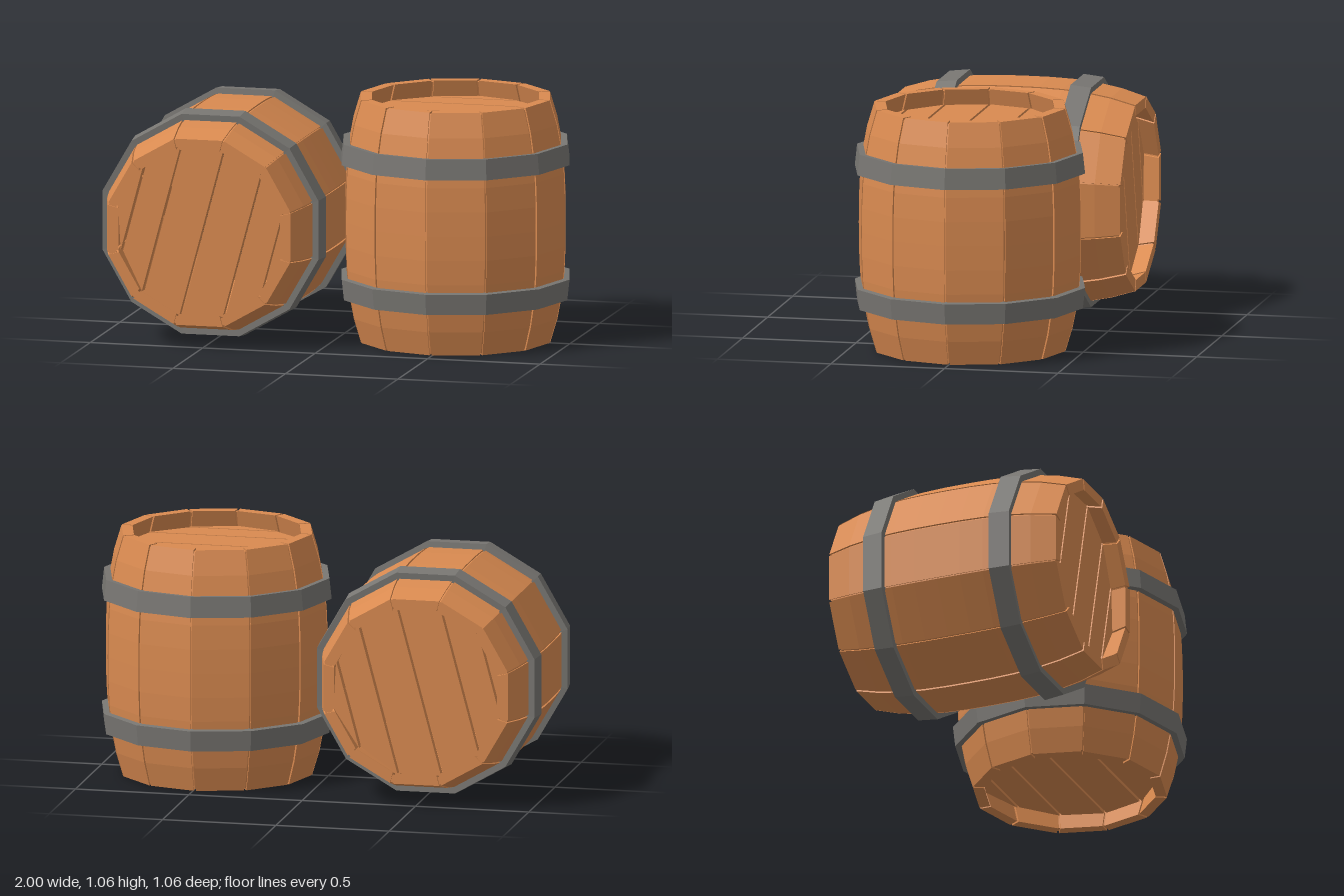
import * as THREE from 'three';

const SIDES = 12, H = 1.06, WALL = 0.049, GAP = 0.011, ROWS = 10;
const wood = new THREE.MeshStandardMaterial({ color: 0xd98a50, flatShading: true });
const metal = new THREE.MeshStandardMaterial({ color: 0x787672, flatShading: true });

// Outer corner radius of the bulging body, y measured from the middle
const radiusAt = (y) => 0.49 - 0.069 * Math.pow(Math.min(1, Math.abs(y) / (H / 2)), 2.8);

function add(group, name, geometry, material) {
  const mesh = new THREE.Mesh(geometry, material);
  mesh.name = name;
  group.add(mesh);
  return mesh;
}

// One bulged stave: a box whose corners follow the body radius
function staveGeometry() {
  const geo = new THREE.BoxGeometry(1, H, 1, 1, ROWS, 1);
  const pos = geo.attributes.position, half = Math.PI / SIDES;
  for (let i = 0; i < pos.count; i++) {
    const y = pos.getY(i);
    const r = radiusAt(y) - (pos.getX(i) < 0 ? WALL : 0);
    const width = r * Math.sin(half) - GAP / 2;
    pos.setXYZ(i, r * Math.cos(half), y, Math.sign(pos.getZ(i)) * width);
  }
  return geo;
}

// Ring just below the stave surfaces that closes the joints
function linerGeometry() {
  const outer = [], inner = [], h = H - 0.016;
  for (let i = 0; i <= ROWS; i++) {
    const y = (i / ROWS - 0.5) * h, r = radiusAt(y);
    outer.push(new THREE.Vector2(r - 0.008, y));
    inner.unshift(new THREE.Vector2(r - WALL + 0.008, y));
  }
  return new THREE.LatheGeometry([...outer, ...inner, outer[0].clone()], SIDES);
}

// Band with a slightly tapered outer face
function hoopGeometry() {
  const profile = [[0.465, 0.245], [0.507, 0.25], [0.497, 0.34], [0.455, 0.337], [0.465, 0.245]];
  return new THREE.LatheGeometry(profile.map(([r, y]) => new THREE.Vector2(r, y)), SIDES);
}

// Lid plank between two neighbouring corner levels of the twelve-sided lid
function plankGeometry(k) {
  const R = 0.392, seam = 0.372, depth = 0.035;
  const level = (j) => {
    const a = (j - 3) * Math.PI / 6, end = j === 0 || j === 6;
    return { w: Math.max(0.002, R * Math.cos(a)), z: Math.sin(a) * (end ? R : seam) };
  };
  const a = level(k), b = level(k + 1);
  const z0 = a.z + (k > 0 ? GAP / 2 : 0), z1 = b.z - (k < 5 ? GAP / 2 : 0);
  const shape = new THREE.Shape([
    new THREE.Vector2(-a.w, z0), new THREE.Vector2(a.w, z0),
    new THREE.Vector2(b.w, z1), new THREE.Vector2(-b.w, z1),
  ]);
  return new THREE.ExtrudeGeometry(shape, { depth, bevelEnabled: false })
    .translate(0, 0, -depth / 2).rotateX(Math.PI / 2);
}

function createBarrel(name) {
  const barrel = new THREE.Group();
  barrel.name = name;

  const stave = staveGeometry();
  for (let i = 0; i < SIDES; i++) {
    add(barrel, 'stave', stave, wood).rotation.y = (i + 0.5) * 2 * Math.PI / SIDES;
  }
  add(barrel, 'staveLiner', linerGeometry(), wood);

  // Recessed lids and hoops at both ends
  const hoop = hoopGeometry();
  for (const end of [1, -1]) {
    const label = end > 0 ? 'upper' : 'lower';
    add(barrel, label + 'Hoop', hoop, metal).rotation.x = end > 0 ? 0 : Math.PI;
    const lid = new THREE.Group();
    lid.name = label + 'Lid';
    for (let k = 0; k < 6; k++) add(lid, 'lidPlank', plankGeometry(k), wood);
    lid.position.y = end * (H / 2 - 0.07 - 0.0175);
    barrel.add(lid);
  }
  return barrel;
}

export function createModel() {
  const model = new THREE.Group();
  model.name = 'barrels';

  const upright = createBarrel('uprightBarrel');
  upright.position.set(0.492, H / 2, 0);

  // Lying along z, rolled so its planks lean
  const lying = createBarrel('lyingBarrel');
  lying.rotation.set(Math.PI / 2, 0, THREE.MathUtils.degToRad(75), 'ZYX');
  lying.position.set(-0.508, 0.508, 0);

  model.add(upright, lying);
  return model;
}
